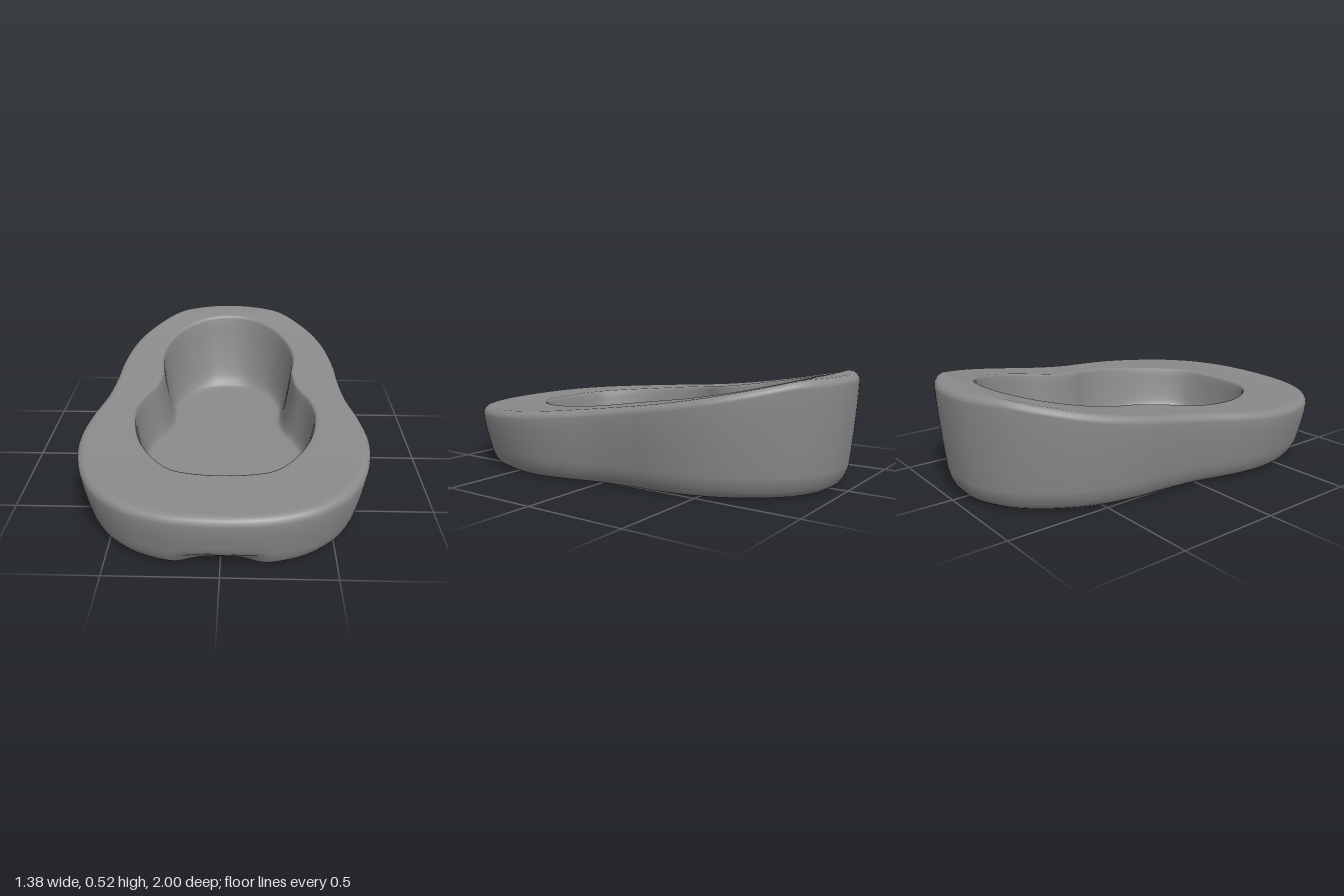
import * as THREE from 'three';

const SEGMENTS = 160;

// Closed, mirrored outline sampled from half of its points (back to front, [x, z])
function outline(half) {
  const mirrored = half.slice(1, -1).reverse().map(([x, z]) => [-x, z]);
  const points = [...half, ...mirrored].map(([x, z]) => new THREE.Vector3(x, 0, z));
  const curve = new THREE.CatmullRomCurve3(points, true, 'centripetal');
  return curve.getSpacedPoints(SEGMENTS).slice(0, SEGMENTS);
}

// Offset an outline inwards; the amount may vary around the ring
function inset(ring, amount) {
  return ring.map((p, i) => {
    const a = ring[(i + SEGMENTS - 1) % SEGMENTS];
    const b = ring[(i + 1) % SEGMENTS];
    const n = new THREE.Vector3(b.z - a.z, 0, a.x - b.x).normalize();
    const d = typeof amount === 'function' ? amount(p) : amount;
    return p.clone().addScaledVector(n, -d);
  });
}

const mix = (r1, r2, t) => r1.map((p, i) => p.clone().lerp(r2[i], t));
const scaled = (ring, s) => ring.map((p) => p.clone().multiplyScalar(s));

// Rim height: low at the front, rising to a level crest at the back
function rimHeight(z) {
  const h = 0.36 - 0.12 * z + 0.05 * z * z - (z < 0 ? 0.025 * z ** 3 : 0);
  const over = h - 0.522;
  return h - 0.5 * (over + Math.sqrt(over * over + 0.00004));
}

export function createModel() {
  const outer = outline([
    [0, -1], [0.13, -0.985], [0.3, -0.9], [0.45, -0.73], [0.54, -0.55], [0.585, -0.35],
    [0.598, -0.18], [0.622, 0], [0.665, 0.17], [0.69, 0.35], [0.665, 0.55], [0.58, 0.75],
    [0.43, 0.9], [0.25, 0.975], [0.1, 0.997], [0, 1],
  ]);
  const lip = outline([
    [0, -0.81], [0.13, -0.785], [0.26, -0.68], [0.34, -0.52], [0.36, -0.38], [0.345, -0.24],
    [0.365, -0.1], [0.42, 0.02], [0.445, 0.14], [0.42, 0.33], [0.34, 0.51], [0.23, 0.63],
    [0.1, 0.665], [0, 0.67],
  ]);
  const floor = outline([
    [0, -0.69], [0.11, -0.675], [0.22, -0.59], [0.28, -0.46], [0.295, -0.36], [0.285, -0.24],
    [0.305, -0.1], [0.36, 0.02], [0.385, 0.14], [0.365, 0.32], [0.295, 0.48], [0.2, 0.59],
    [0.09, 0.62], [0, 0.625],
  ]);

  const rings = [];
  // Height is a number, or a function of the rim height above the point
  const add = (ring, height) => rings.push(ring.map((p) =>
    new THREE.Vector3(p.x, typeof height === 'number' ? height : height(rimHeight(p.z)), p.z)));

  // Finger recess under the middle of the front
  const recess = (p) => (p.z > 0.5 ? Math.exp(-((p.x / 0.16) ** 4)) : 0);
  const lower = (base, extra) => inset(outer, (p) => base + extra * recess(p));

  // Flat underside and its rounded edge
  const foot = lower(0.105, 0.06);
  for (const s of [0, 0.5, 0.9, 0.98]) add(scaled(foot, s), 0);
  add(foot, 0);
  for (const [d, extra, y] of [[0.085, 0.06, 0.004], [0.068, 0.055, 0.016], [0.054, 0.05, 0.035],
    [0.043, 0.037, 0.06], [0.036, 0.012, 0.08], [0.031, 0, 0.1]]) add(lower(d, extra), y);

  // Outer wall, flaring gently up to the rounded rim
  for (const t of [0.2, 0.4, 0.6, 0.8, 1]) {
    add(inset(outer, 0.031 * (1 - t) ** 1.4), (h) => 0.1 + (h - 0.135) * t);
  }
  for (const a of [0.25, 0.5, 0.75, 1]) {
    const angle = a * Math.PI / 2;
    add(inset(outer, 0.035 * (1 - Math.cos(angle))), (h) => h - 0.035 * (1 - Math.sin(angle)));
  }

  // Broad sloping rim
  const rimOuter = inset(outer, 0.04);
  const rimInner = inset(lip, -0.016);
  for (let i = 0; i <= 8; i++) add(mix(rimOuter, rimInner, i / 8), (h) => h);
  add(inset(lip, -0.006), (h) => h - 0.003);
  add(lip, (h) => h - 0.013);

  // Basin wall, curving into the floor
  const floorY = 0.085;
  for (const [t, drop] of [[0.08, 0.15], [0.2, 0.35], [0.34, 0.55], [0.48, 0.72], [0.6, 0.84],
    [0.72, 0.92], [0.86, 0.975], [1, 1]]) {
    add(mix(lip, floor, t), (h) => (h - 0.013) + (floorY - h + 0.013) * drop);
  }
  for (const s of [0.94, 0.8, 0.5, 0]) add(scaled(floor, s), floorY - 0.004);

  // Join neighbouring rings into one smooth skin
  const index = [];
  for (let k = 0; k < rings.length - 1; k++) {
    for (let j = 0; j < SEGMENTS; j++) {
      const a = k * SEGMENTS + j;
      const b = k * SEGMENTS + (j + 1) % SEGMENTS;
      const c = a + SEGMENTS;
      const d = b + SEGMENTS;
      if (k > 0) index.push(a, c, b);
      if (k === 0) index.push(a, c, d);
      else if (k < rings.length - 2) index.push(b, c, d);
    }
  }
  const geometry = new THREE.BufferGeometry().setFromPoints(rings.flat());
  geometry.setIndex(index);
  geometry.computeVertexNormals();

  const grey = new THREE.MeshStandardMaterial({ color: 0x8a8a8a });
  grey.name = 'grey';
  const basin = new THREE.Mesh(geometry, grey);
  basin.name = 'basin';

  const model = new THREE.Group();
  model.name = 'contouredBasin';
  model.add(basin);
  return model;
}
